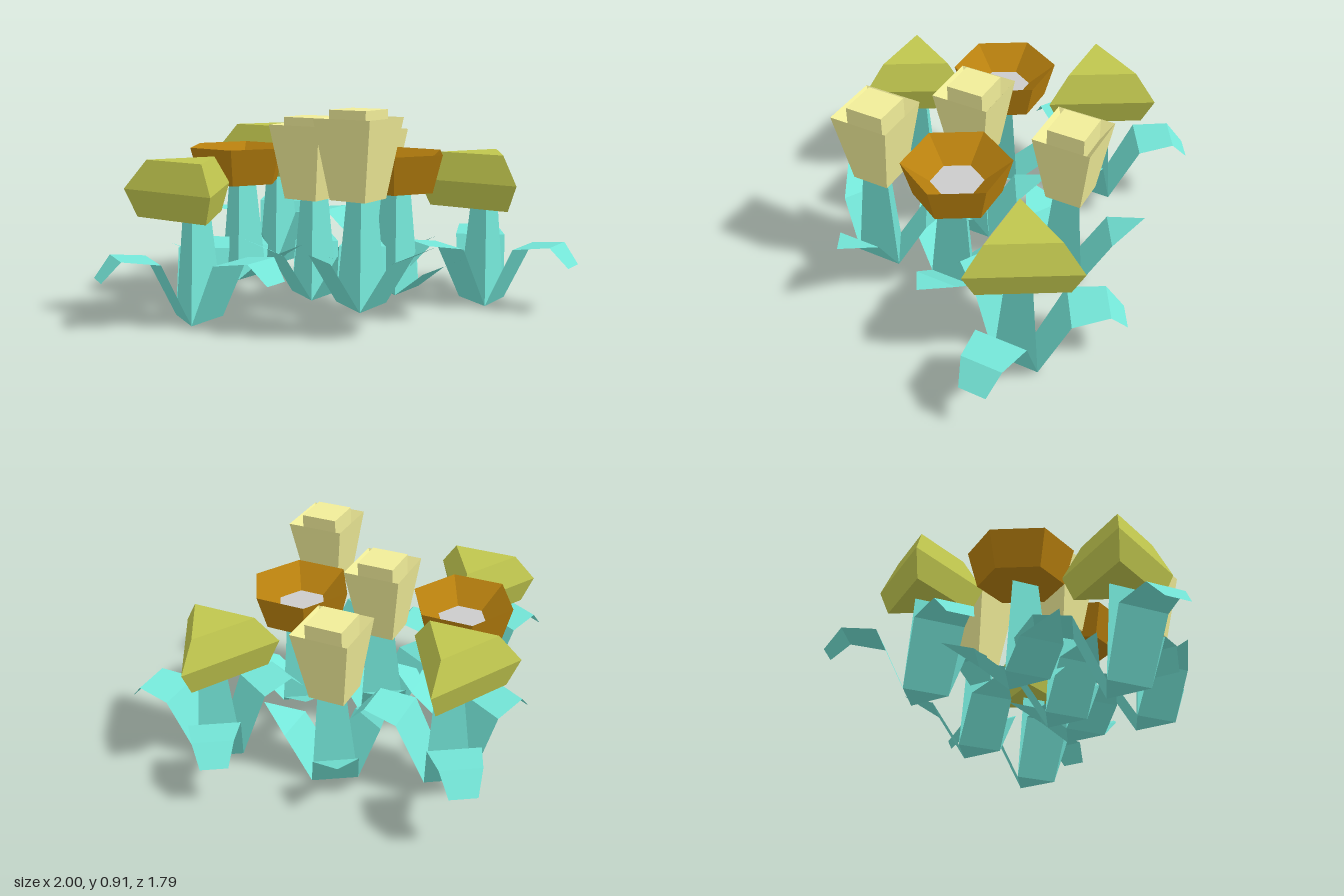
import * as THREE from 'three';

const mat = (color, side = THREE.FrontSide) =>
  new THREE.MeshStandardMaterial({ color, flatShading: true, side });

const green = mat(0x74e6d8);
const leafGreen = mat(0x74e6d8, THREE.DoubleSide);
const olive = mat(0xc0c64e);
const amber = mat(0xb8800e);
const cream = mat(0xf0ec98);
const grey = mat(0xcccccc);

// Faceted solid from a [radius, height] profile, listed from the bottom up
function facet(name, profile, sides, turn, material) {
  const points = profile.map(([r, y]) => new THREE.Vector2(r, y));
  const mesh = new THREE.Mesh(new THREE.LatheGeometry(points, sides, turn), material);
  mesh.name = name;
  return mesh;
}

// Thin folded leaf pointing to +x, from rows of [reach, height, half width]
function leafGeometry(rows) {
  const positions = [];
  const index = [];
  rows.forEach(([x, y, w], i) => {
    positions.push(x, y, w, x, y, -w);
    if (i === 0) return;
    const a = 2 * (i - 1);
    index.push(a, a + 2, a + 1);
    if (w > 0) index.push(a + 1, a + 2, a + 3);
    else index[index.length - 2] = a + 2;
  });
  const geometry = new THREE.BufferGeometry();
  geometry.setAttribute('position', new THREE.Float32BufferAttribute(positions, 3));
  geometry.setIndex(index);
  geometry.computeVertexNormals();
  return geometry;
}

const STEM_TOP = 0.445;

// Three kinds of flower head
function triangleCap() {
  const cap = facet('triangularCap',
    [[0, STEM_TOP], [0.22, STEM_TOP], [0.277, 0.565], [0.176, 0.69], [0, 0.69]], 3, 0, olive);
  cap.position.set(-0.027, 0, -0.01);
  return [cap];
}

function hexBowl() {
  const bowl = facet('hexagonalBowl',
    [[0, 0.44], [0.19, 0.44], [0.235, 0.605], [0.115, 0.505]], 6, Math.PI / 2, amber);
  const floor = facet('bowlCentre', [[0.115, 0.505], [0, 0.505]], 6, Math.PI / 2, grey);
  for (const part of [bowl, floor]) part.position.set(-0.007, 0, -0.01);
  return [bowl, floor];
}

function squareCup() {
  const turn = THREE.MathUtils.degToRad(75);
  const cup = facet('squareCup',
    [[0, 0.44], [0.117, 0.44], [0.187, 0.77], [0.12, 0.70]], 4, turn, cream);
  const core = facet('cupCore', [[0.12, 0.70], [0.12, 0.803], [0, 0.803]], 4, turn, cream);
  for (const part of [cup, core]) part.position.set(-0.01, 0, -0.012);
  return [cup, core];
}

const kinds = {
  capFlower: {
    head: triangleCap,
    leaf: leafGeometry([[0.06, 0, 0.104], [0.19, 0.275, 0.115], [0.35, 0.298, 0.09], [0.427, 0.21, 0.06]]),
    spots: [[-0.572, 0, 0.115], [0.08, 0.09, -0.495], [0.74, 0, 0.36]],
  },
  bowlFlower: {
    head: hexBowl,
    leaf: leafGeometry([[0.06, 0, 0.104], [0.19, 0.105, 0.1], [0.345, 0.18, 0]]),
    spots: [[-0.247, 0.107, -0.172], [0.257, 0.107, 0.382]],
  },
  cupFlower: {
    head: squareCup,
    leaf: leafGeometry([[0.06, 0, 0.104], [0.19, 0.21, 0.1], [0.345, 0.285, 0]]),
    spots: [[0.408, 0, -0.1], [-0.02, 0.055, 0.13], [-0.03, 0.112, 0.597]],
  },
};

// One plant: tapered three-sided stem, three leaves and a head
function plant(name, kind, spot) {
  const group = new THREE.Group();
  group.name = name;
  group.add(facet('stem', [[0, 0], [0.12, 0], [0.07, STEM_TOP + 0.01], [0, STEM_TOP + 0.01]], 3, Math.PI / 2, green));
  for (const angle of [Math.PI, Math.PI / 3, -Math.PI / 3]) {
    const leaf = new THREE.Mesh(kind.leaf, leafGreen);
    leaf.name = 'leaf';
    leaf.rotation.y = angle;
    group.add(leaf);
  }
  group.add(...kind.head());
  group.position.set(...spot);
  return group;
}

export function createModel() {
  const model = new THREE.Group();
  model.name = 'flowerPatch';
  for (const [name, kind] of Object.entries(kinds)) {
    for (const spot of kind.spots) model.add(plant(name, kind, spot));
  }
  return model;
}
